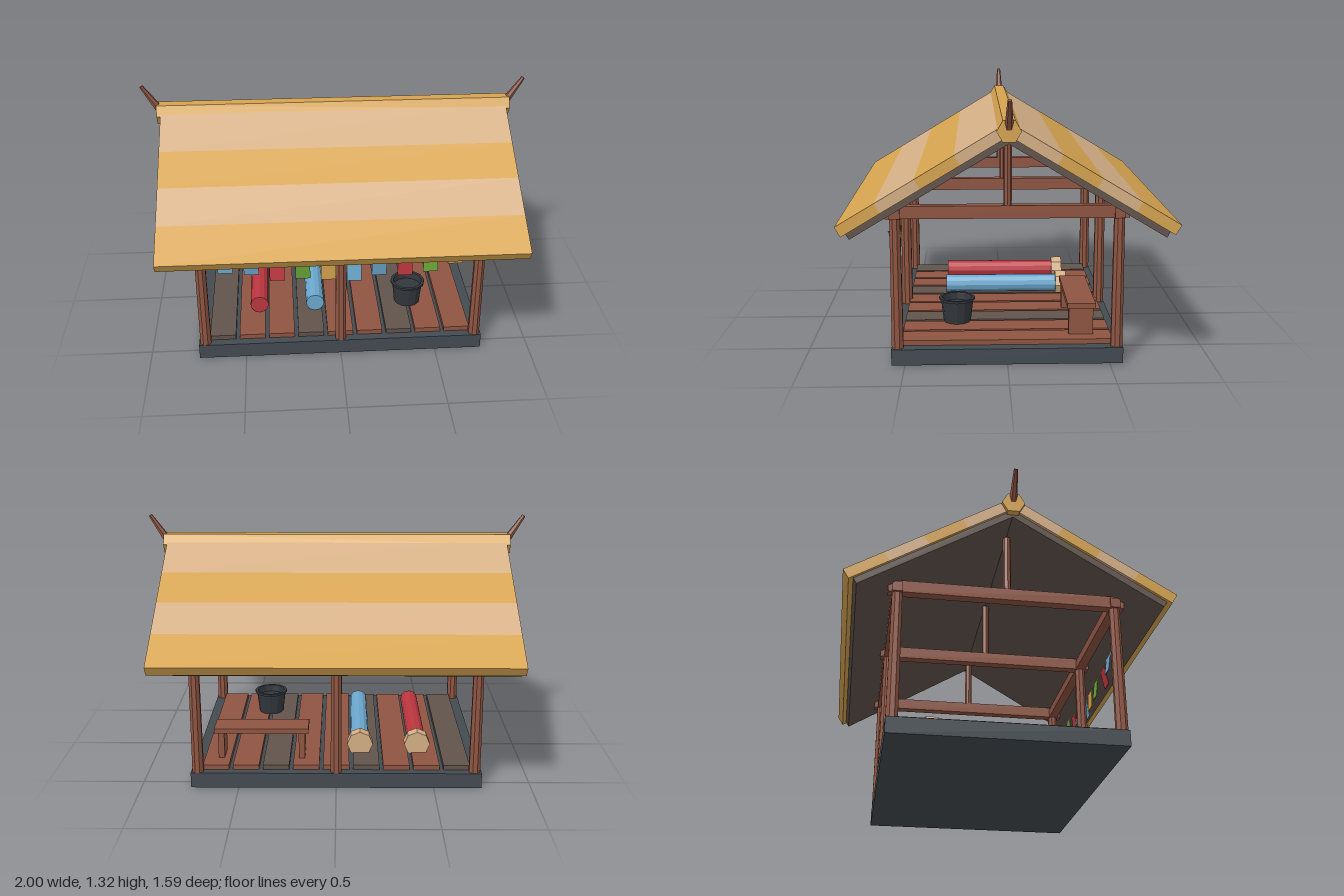
import * as THREE from 'three';

const mat = (name, color, extra = {}) => {
  const m = new THREE.MeshStandardMaterial({ color, flatShading: true, ...extra });
  m.name = name;
  return m;
};

export function createModel() {
  const wood = mat('wood', 0x8f5542);
  const greyWood = mat('grey wood', 0x62544c);
  const stone = mat('stone', 0x434b51);
  const iron = mat('dark basket', 0x33383e, { side: THREE.DoubleSide });
  const gold = mat('gold thatch', 0xd6a450);
  const tan = mat('pale thatch', 0xd6b086);
  const red = mat('red cloth', 0xbb363f);
  const blue = mat('blue cloth', 0x6ca8ce);
  const green = mat('green cloth', 0x6ca63a);

  const root = new THREE.Group();
  root.name = 'pavilion';

  const add = (name, geometry, material, x, y, z, parent = root) => {
    const mesh = new THREE.Mesh(geometry, material);
    mesh.name = name;
    mesh.position.set(x, y, z);
    parent.add(mesh);
    return mesh;
  };
  const box = (name, w, h, d, material, x, y, z, parent) =>
    add(name, new THREE.BoxGeometry(w, h, d), material, x, y, z, parent);
  const group = (name, parent = root) => {
    const g = new THREE.Group();
    g.name = name;
    parent.add(g);
    return g;
  };

  // Base slab and floor planks
  box('base', 1.49, 0.08, 1.13, stone, 0, 0.04, 0);
  const floor = group('floor');
  for (let i = 0; i < 9; i++) {
    box('plank', 0.135, 0.027, 1.04, i % 3 === 0 ? greyWood : wood,
      (i - 4) * 0.155, 0.092, 0, floor);
  }

  // Posts, tie beams, king posts and wall plates
  const frame = group('frame');
  for (const x of [-0.71, 0, 0.71]) {
    for (const z of [-0.535, 0.535]) {
      add('post', new THREE.CylinderGeometry(0.027, 0.031, 0.78, 8).rotateY(Math.PI / 8), wood,
        x, 0.391, z, frame);
    }
    box('tieBeam', 0.05, 0.062, 1.16, wood, x, 0.758, 0, frame);
    add('kingPost', new THREE.CylinderGeometry(0.02, 0.02, 0.31, 8), wood, x, 0.935, 0, frame);
  }
  for (const z of [-0.535, 0.535]) {
    box('wallPlate', 1.49, 0.05, 0.05, wood, 0, 0.752, z, frame);
  }

  // Two roof slopes, each with striped thatch over a dark lining
  const roof = group('roof');
  const stops = [0.03, 0.288, 0.501, 0.714, 0.927];
  for (const turn of [0, Math.PI]) {
    const side = group('roofSide', roof);
    side.rotation.y = turn;
    const slope = group('roofSlope', side);
    slope.position.y = 1.205;
    slope.rotation.x = Math.atan(0.6);
    for (let i = 0; i < 4; i++) {
      const a = stops[i], b = stops[i + 1];
      box('thatchStripe', 1.8, 0.054, b - a, i % 2 ? gold : tan, 0, -0.027, (a + b) / 2, slope);
    }
    box('roofLining', 1.77, 0.032, 0.863, greyWood, 0, -0.07, 0.4715, slope);
  }

  // Ridge roll and end horns
  add('ridge', new THREE.CylinderGeometry(0.057, 0.057, 1.84, 6).rotateZ(Math.PI / 2), gold,
    0, 1.165, 0, roof);
  for (const s of [-1, 1]) {
    const horn = add('horn', new THREE.CylinderGeometry(0.01, 0.021, 0.16, 6), wood,
      s * 0.947, 1.245, 0, roof);
    horn.rotation.z = -s * 0.58;
  }

  // Sagging rope with hanging flags
  const bunting = group('bunting');
  const sag = x => 0.57 + 0.09 * (x / 0.71) ** 2;
  const rope = new THREE.CatmullRomCurve3(
    Array.from({ length: 9 }, (_, i) => {
      const x = -0.71 + i * 0.1775;
      return new THREE.Vector3(x, sag(x), 0.572);
    }));
  add('rope', new THREE.TubeGeometry(rope, 24, 0.004, 5), tan, 0, 0, 0, bunting);
  const flagColors = [blue, blue, red, green, gold];
  for (let i = 0; i < 10; i++) {
    const x = -0.583 + i * 0.1293;
    const geometry = new THREE.BoxGeometry(0.075, 0.1, 0.004).translate(0, -0.05, 0);
    const flag = add('flag', geometry, flagColors[i % 5], x, sag(x), 0.572, bunting);
    flag.rotation.x = 0.2 * Math.sin(i * 2.3);
  }

  // Cloth rolls with wide octagonal ends at the back
  for (const [x, cloth] of [[-0.427, red], [-0.125, blue]]) {
    const roll = group('clothRoll');
    roll.position.set(x, 0.153, 0);
    add('cloth', new THREE.CylinderGeometry(0.049, 0.049, 0.64, 12).rotateX(Math.PI / 2), cloth,
      0, 0, 0, roll);
    add('rollEnd', new THREE.CylinderGeometry(0.068, 0.068, 0.06, 8).rotateX(Math.PI / 2), tan,
      0, 0, -0.33, roll);
  }

  // Bench
  const bench = group('bench');
  box('benchSeat', 0.49, 0.026, 0.14, wood, 0.39, 0.258, -0.37, bench);
  for (const x of [0.18, 0.6]) box('benchLeg', 0.032, 0.142, 0.122, wood, x, 0.176, -0.37, bench);

  // Open basket with a rim
  const profile = [[0, 0], [0.07, 0], [0.084, 0.116], [0.093, 0.116], [0.093, 0.128],
    [0.078, 0.128], [0.074, 0.09], [0, 0.09]].map(p => new THREE.Vector2(...p));
  add('basket', new THREE.LatheGeometry(profile, 12), iron, 0.388, 0.106, 0.25);

  return root;
}
